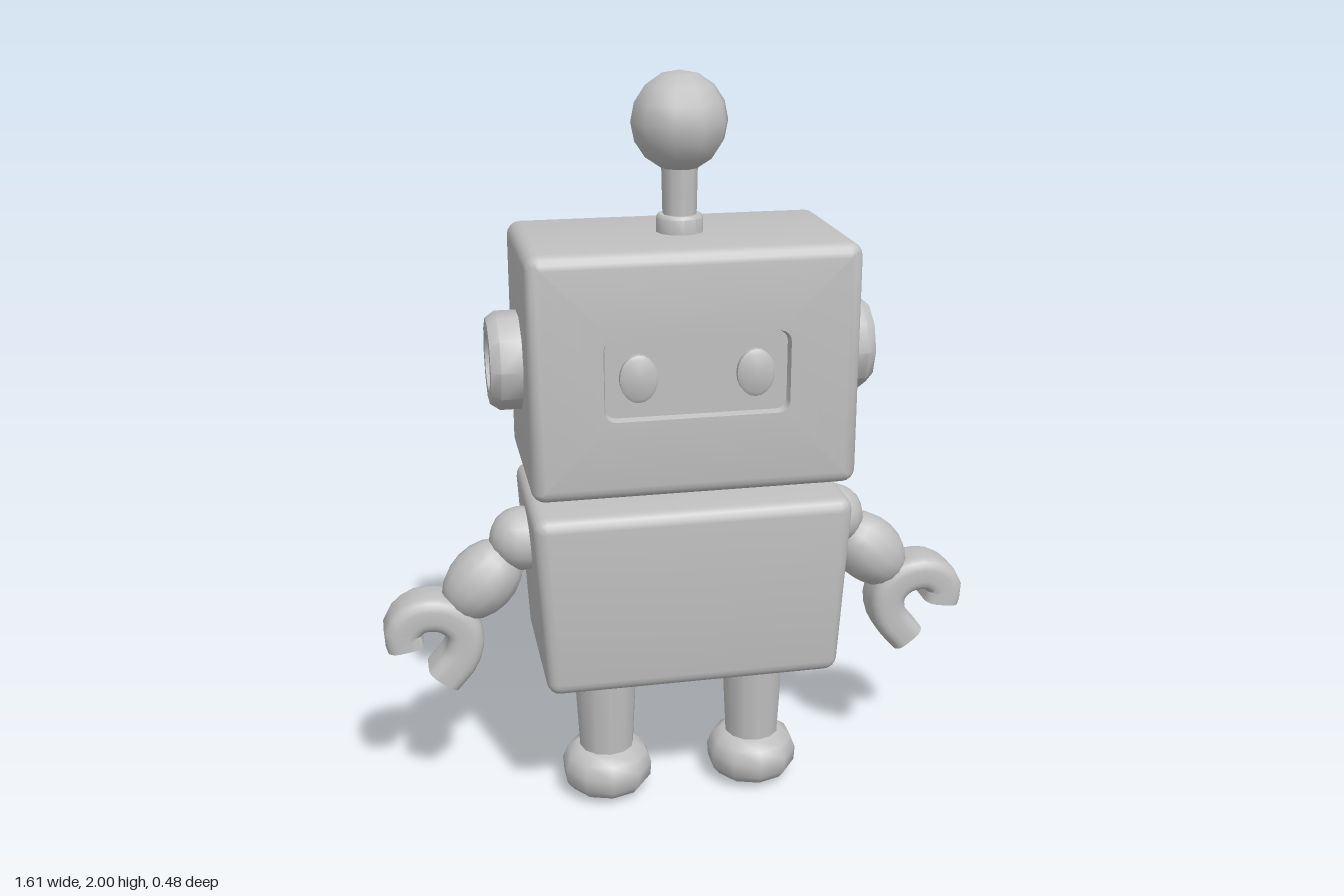
import * as THREE from 'three';
import { toCreasedNormals } from 'three/addons/utils/BufferGeometryUtils.js';

const grey = new THREE.MeshStandardMaterial({ color: 0xc0c0c0 });
grey.name = 'grey';

function part(name, geometry, parent, x = 0, y = 0, z = 0) {
  const mesh = new THREE.Mesh(geometry, grey);
  mesh.name = name;
  mesh.position.set(x, y, z);
  parent.add(mesh);
  return mesh;
}

// Skin over equal-length rings of Vector3, with both ends capped
function loft(rings, crease = 0.7) {
  const pos = [], n = rings[0].length;
  const tri = (...v) => v.forEach(p => pos.push(p.x, p.y, p.z));
  const centre = r => r.reduce((s, p) => s.add(p), new THREE.Vector3()).divideScalar(n);
  const first = rings[0], last = rings[rings.length - 1];
  const c0 = centre(first), c1 = centre(last);
  for (let i = 0; i < n; i++) {
    const j = (i + 1) % n;
    for (let k = 0; k + 1 < rings.length; k++) {
      const a = rings[k], b = rings[k + 1];
      tri(a[i], a[j], b[j]);
      tri(a[i], b[j], b[i]);
    }
    tri(c0, first[j], first[i]);
    tri(c1, last[i], last[j]);
  }
  const g = new THREE.BufferGeometry();
  g.setAttribute('position', new THREE.Float32BufferAttribute(pos, 3));
  return toCreasedNormals(g, crease);
}

// Rounded rectangle ring, counter-clockwise seen from +z
function roundRect(hx, hy, r, z, y = 0) {
  const ring = [];
  [[1, 1], [-1, 1], [-1, -1], [1, -1]].forEach(([sx, sy], q) => {
    for (let i = 0; i <= 4; i++) {
      const a = (q + i / 4) * Math.PI / 2;
      ring.push(new THREE.Vector3(sx * (hx - r) + r * Math.cos(a), y + sy * (hy - r) + r * Math.sin(a), z));
    }
  });
  return ring;
}

// Rings of a box rounded on every edge, from back to front
function boxRings(hx, hy, hz, r) {
  const rings = [];
  for (const side of [-1, 1]) for (let i = 0; i <= 4; i++) {
    const a = (side < 0 ? 4 - i : i) / 4 * Math.PI / 2;
    const inset = r * (1 - Math.cos(a));
    rings.push(roundRect(hx - inset, hy - inset, Math.max(r - inset, 0.001), side * (hz - r + r * Math.sin(a))));
  }
  return rings;
}

function lathe(points, segments, crease = 0.75) {
  const g = new THREE.LatheGeometry(points.map(p => new THREE.Vector2(...p)), segments);
  return toCreasedNormals(g, crease);
}

function buildHead(model) {
  const head = new THREE.Group();
  head.name = 'head';
  head.position.y = 1.285;
  model.add(head);
  // Box with a sunken face panel
  const rings = boxRings(0.42, 0.315, 0.24, 0.035);
  rings.push(roundRect(0.236, 0.107, 0.03, 0.24), roundRect(0.231, 0.102, 0.027, 0.22));
  part('headShell', loft(rings), head);
  for (const s of [-1, 1]) {
    const eye = part(s > 0 ? 'leftEye' : 'rightEye',
      lathe([[0.048, 0], [0.048, 0.016], [0.04, 0.022], [0, 0.022]], 20), head, s * 0.148, 0, 0.219);
    eye.rotation.x = Math.PI / 2;
    eye.scale.z = 1.27;
    // Ear disc with a hollow centre
    const ear = part(s > 0 ? 'leftEar' : 'rightEar',
      lathe([[0.127, 0], [0.127, 0.065], [0.11, 0.09], [0.077, 0.09], [0.068, 0.06], [0, 0.06]], 10, 0.66),
      head, s * 0.41, 0, 0);
    ear.rotation.z = -s * Math.PI / 2;
  }
  // Antenna
  part('antennaBase', lathe([[0.061, 0], [0.061, 0.04], [0.055, 0.048], [0, 0.048]], 12), head, 0, 0.312);
  part('antennaStem', new THREE.CylinderGeometry(0.047, 0.043, 0.18, 10), head, 0, 0.42);
  part('antennaBall', new THREE.SphereGeometry(0.124, 10, 8), head, 0, 0.591);
}

function buildTorso(model) {
  part('neck', new THREE.BoxGeometry(0.2, 0.1, 0.06), model, 0, 0.945);
  // Torso narrows towards the hips
  const rings = boxRings(0.42, 0.252, 0.24, 0.035);
  for (const ring of rings) for (const p of ring) {
    const t = (0.252 - p.y) / 0.504;
    p.x *= 1 - 0.065 * t;
    p.z *= 1 - 0.07 * t;
  }
  part('torso', loft(rings), model, 0, 0.673);
}

// Rounded-square bar swept along a hooked curve
function clawGeometry() {
  const path = new THREE.CatmullRomCurve3([
    [0.75, 0.512], [0.757, 0.56], [0.713, 0.602], [0.64, 0.597], [0.594, 0.548], [0.6, 0.479], [0.655, 0.408],
  ].map(([x, y]) => new THREE.Vector3(x, y, 0)));
  const rings = [], steps = 18, forward = new THREE.Vector3(0, 0, 1);
  for (let k = 0; k <= steps; k++) {
    const c = path.getPointAt(k / steps);
    const u = forward.clone().cross(path.getTangentAt(k / steps));
    rings.push(roundRect(0.049, 0.066, 0.032, 0).map(p =>
      c.clone().addScaledVector(u, p.x).addScaledVector(forward, p.y)));
  }
  return loft(rings);
}

function buildArm(model, s) {
  const arm = new THREE.Group();
  arm.name = s > 0 ? 'leftArm' : 'rightArm';
  arm.rotation.y = s > 0 ? 0 : Math.PI;
  model.add(arm);
  part('shoulder', new THREE.SphereGeometry(0.086, 14, 10), arm, 0.43, 0.79);
  const upper = part('forearm', new THREE.SphereGeometry(0.092, 14, 10), arm, 0.537, 0.68);
  upper.scale.y = 1.36;
  upper.rotation.z = Math.PI / 4;
  part('claw', clawGeometry(), arm);
}

function buildLeg(model, s) {
  const leg = new THREE.Group();
  leg.name = s > 0 ? 'leftLeg' : 'rightLeg';
  leg.position.x = s * 0.21;
  model.add(leg);
  part('shin', new THREE.CylinderGeometry(0.09, 0.074, 0.32, 12), leg, 0, 0.28);
  part('foot', lathe([[0, 0.002], [0.06, 0.006], [0.105, 0.025], [0.124, 0.05], [0.127, 0.09],
    [0.113, 0.127], [0.085, 0.147], [0, 0.15]], 10, 0.9), leg);
}

export function createModel() {
  const model = new THREE.Group();
  model.name = 'robot';
  buildHead(model);
  buildTorso(model);
  for (const s of [-1, 1]) {
    buildArm(model, s);
    buildLeg(model, s);
  }
  return model;
}
